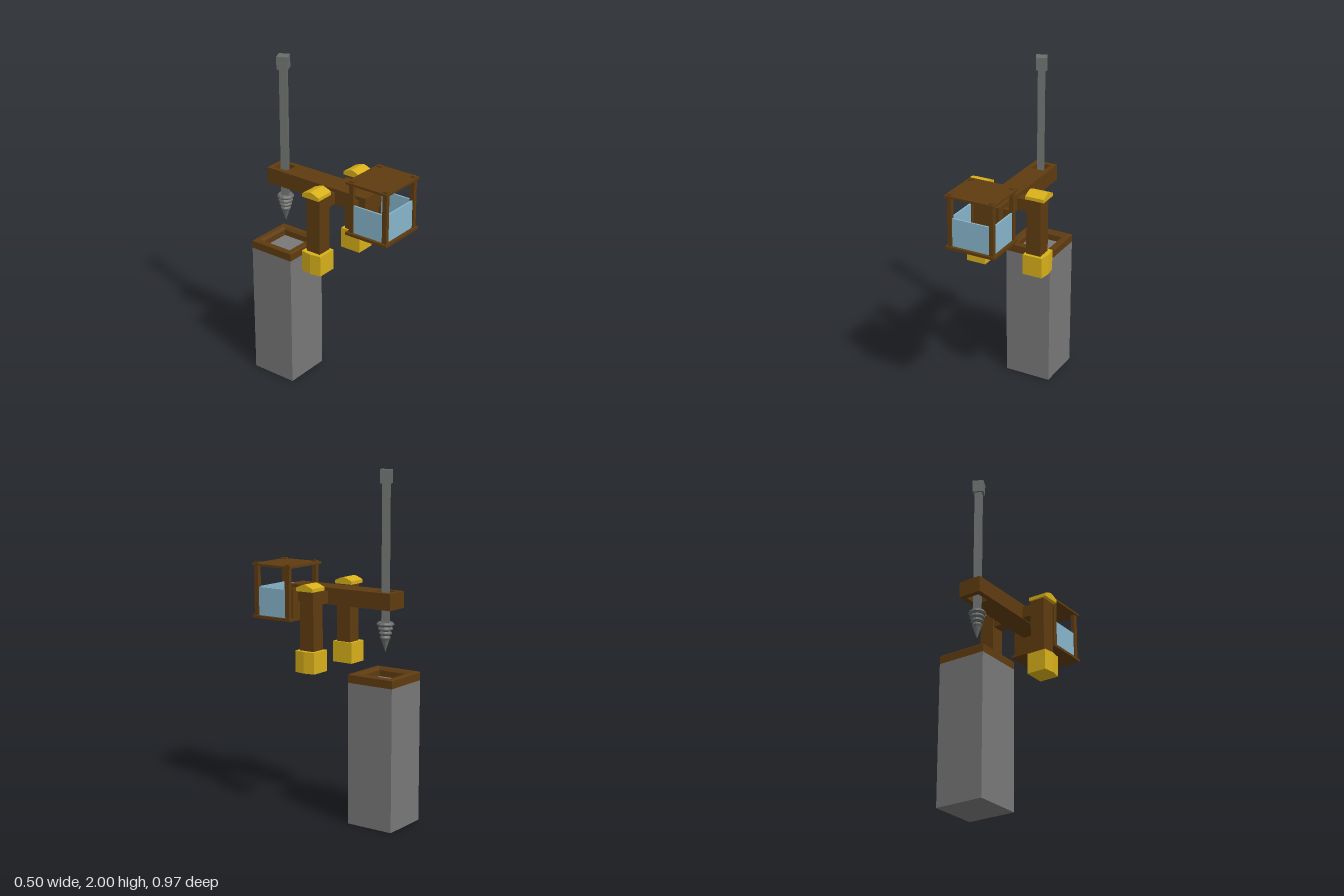
import * as THREE from 'three';

const mat = (color) => new THREE.MeshStandardMaterial({ color, flatShading: true });

export function createModel() {
  const wood = mat(0x5f3c10), stone = mat(0x787878), metal = mat(0x6a6d6b);
  const gold = mat(0xd8b01a), glass = mat(0x87b5cc);
  glass.side = THREE.DoubleSide;
  const model = new THREE.Group();
  model.name = 'drillRig';

  const add = (parent, name, geometry, material) => {
    const mesh = new THREE.Mesh(geometry, material);
    mesh.name = name;
    parent.add(mesh);
    return mesh;
  };
  // Box given by its min and max corners
  const box = (parent, name, material, x0, x1, y0, y1, z0, z1) => {
    const mesh = add(parent, name, new THREE.BoxGeometry(x1 - x0, y1 - y0, z1 - z0), material);
    mesh.position.set((x0 + x1) / 2, (y0 + y1) / 2, (z0 + z1) / 2);
    return mesh;
  };
  const polygon = (pts) => new THREE.Shape(pts.map(([x, y]) => new THREE.Vector2(x, y)));
  const rect = (x0, x1, y0, y1) => polygon([[x0, y0], [x1, y0], [x1, y1], [x0, y1]]);
  // Plan outline (x, -z) raised from y0 by a height
  const slab = (shape, y0, height) => new THREE.ExtrudeGeometry(shape, { depth: height, bevelEnabled: false })
    .rotateX(-Math.PI / 2).translate(0, y0, 0);

  // Stone plinth with a bevelled wooden rim around the pit
  box(model, 'plinth', stone, -0.145, 0.145, 0, 0.82, -0.485, -0.195);
  const d = Math.SQRT2;
  const rimProfile = [[0.1, 0.82], [0.145, 0.82], [0.145, 0.865], [0.14, 0.87], [0.112, 0.87], [0.1, 0.855], [0.1, 0.82]]
    .map(([r, y]) => new THREE.Vector2(r * d, y));
  const rim = add(model, 'plinthRim', new THREE.LatheGeometry(rimProfile, 4).rotateY(Math.PI / 4), wood);
  rim.position.z = -0.34;

  // Main beam with a square guide hole for the drill
  const beam = rect(-0.07, 0.07, -0.28, 0.42);
  beam.holes.push(rect(-0.04, 0.04, 0.3, 0.39));
  add(model, 'beam', slab(beam, 1.235, 0.095), wood);

  // Cross arm, legs, caps and feet on both sides
  for (const [name, turn] of [['left', 0], ['right', Math.PI]]) {
    const side = new THREE.Group();
    side.name = name + 'Support';
    side.position.z = 0.035;
    side.rotation.y = turn;
    model.add(side);
    box(side, 'crossArm', wood, 0.06, 0.14, 1.24, 1.31, -0.037, 0.037);
    box(side, 'leg', wood, 0.133, 0.222, 0.95, 1.33, -0.046, 0.046);
    const foot = polygon([[0.122, -0.066], [0.242, -0.066], [0.252, 0], [0.242, 0.066], [0.122, 0.066]]);
    add(side, 'foot', slab(foot, 0.862, 0.123), gold);
    const cap = polygon([[-0.057, 1.323], [0.057, 1.323], [0.057, 1.343], [0.022, 1.358],
      [0, 1.364], [-0.022, 1.358], [-0.057, 1.343]]);
    const capGeo = new THREE.ExtrudeGeometry(cap, { depth: 0.114, bevelEnabled: false })
      .rotateY(Math.PI / 2).translate(0.131, 0, 0);
    add(side, 'cap', capGeo, gold);
  }

  // Cabin: floor, roof, corner posts, back panel and half-height windows
  const cabin = new THREE.Group();
  cabin.name = 'cabin';
  model.add(cabin);
  box(cabin, 'floor', wood, -0.152, 0.152, 1.122, 1.138, 0.205, 0.482);
  box(cabin, 'roof', wood, -0.152, 0.152, 1.427, 1.44, 0.205, 0.482);
  for (const x of [-0.129, 0.129]) {
    for (const z of [0.235, 0.459]) {
      box(cabin, 'post', wood, x - 0.012, x + 0.012, 1.13, 1.448, z - 0.014, z + 0.014);
    }
    box(cabin, 'sideWindow', glass, x - 0.005, x + 0.005, 1.138, 1.303, 0.249, 0.445);
  }
  box(cabin, 'frontWindow', glass, -0.117, 0.117, 1.138, 1.303, 0.454, 0.464);
  box(cabin, 'backPanel', wood, -0.117, 0.117, 1.138, 1.31, 0.21, 0.235);

  // Drill: turned square rod and head with a stepped, pointed bit
  const drill = new THREE.Group();
  drill.name = 'drill';
  drill.position.z = -0.345;
  drill.rotation.y = 0.45;
  model.add(drill);
  box(drill, 'rod', metal, -0.021, 0.021, 1.14, 1.93, -0.021, 0.021);
  box(drill, 'head', metal, -0.032, 0.032, 1.925, 2, -0.032, 0.032);
  const profile = [[0, 0.988], [0.024, 1.058]];
  for (let i = 0; i < 4; i++) {
    const y = 1.058 + i * 0.025, r = 0.03 + i * 0.0065;
    profile.push([r, y + 0.01], [r, y + 0.016], [r - 0.007, y + 0.025]);
  }
  profile.push([0, 1.158]);
  const bitPoints = profile.map(([r, y]) => new THREE.Vector2(r, y));
  add(drill, 'bit', new THREE.LatheGeometry(bitPoints, 12), metal);

  return model;
}
